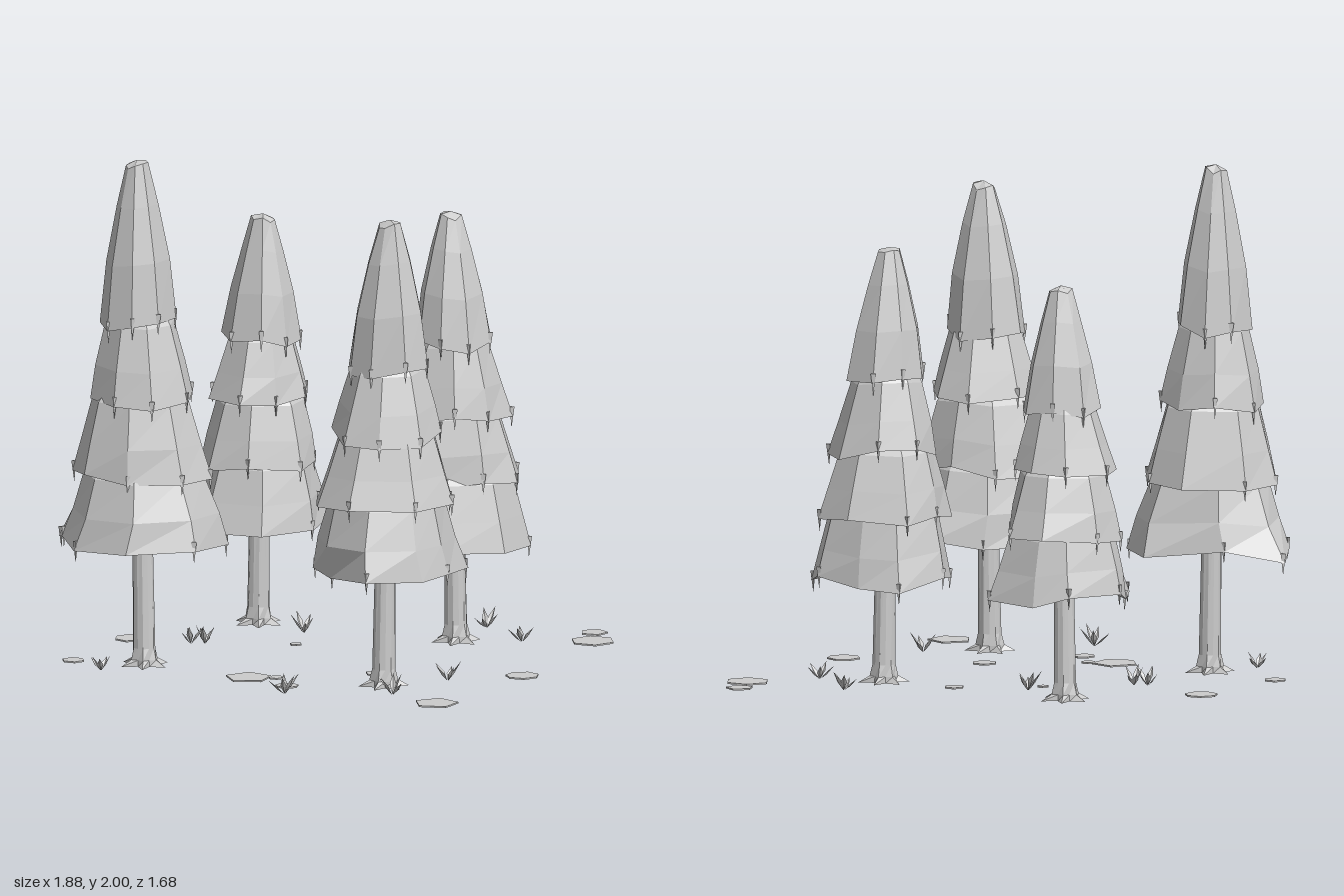
import * as THREE from 'three';

const grey = new THREE.MeshStandardMaterial({ color: 0xcccccc, side: THREE.DoubleSide, flatShading: true });
grey.name = 'pale grey';

// Small seeded random source
let seed = 7;
const rand = (a, b) => {
  seed = (seed * 16807) % 2147483647;
  return a + (b - a) * (seed / 2147483647);
};

function mesh(name, geometry, parent) {
  const m = new THREE.Mesh(geometry, grey);
  m.name = name;
  parent.add(m);
  return m;
}

// Faceted skin over rings of points, listed from first to last
function loft(rings) {
  const pos = [];
  for (let k = 0; k < rings.length - 1; k++) {
    const a = rings[k], b = rings[k + 1], n = a.length;
    for (let i = 0; i < n; i++) {
      const j = (i + 1) % n;
      pos.push(...a[i], ...b[i], ...a[j], ...a[j], ...b[i], ...b[j]);
    }
  }
  const g = new THREE.BufferGeometry();
  g.setAttribute('position', new THREE.Float32BufferAttribute(pos, 3));
  g.computeVertexNormals();
  return g;
}

// base and apex are [x, z]; skirt holds the lowest tier's corners around its centre
const TREES = [
  { base: [-0.55, 0.49], apex: [-0.585, 0.48], h: 2.0, y: [0.5, 0.77, 1.06, 1.36], r: [0.32, 0.265, 0.22, 0.16], spin: 0.2,
    centre: [-0.59, 0.48], skirt: [[-0.35, -0.06], [-0.16, -0.2], [0.14, -0.31], [0.34, -0.12], [0.33, 0.18], [0.09, 0.31], [-0.15, 0.26], [-0.27, 0.1]] },
  { base: [0.457, 0.49], apex: [0.477, 0.475], h: 1.85, y: [0.47, 0.74, 1.0, 1.26], r: [0.31, 0.27, 0.225, 0.17], spin: 0.5,
    centre: [0.475, 0.47], skirt: [[-0.325, 0], [-0.145, -0.23], [0.035, -0.32], [0.245, -0.2], [0.275, 0.06], [0.22, 0.19], [0.045, 0.34], [-0.165, 0.2]] },
  { base: [-0.46, -0.41], apex: [-0.44, -0.41], h: 1.63, y: [0.43, 0.66, 0.9, 1.14], r: [0.27, 0.24, 0.2, 0.15], spin: 0.1,
    centre: [-0.46, -0.41], skirt: [[-0.25, 0.01], [-0.17, -0.24], [-0.03, -0.28], [0.21, -0.23], [0.26, 0.06], [0.13, 0.27], [-0.12, 0.275], [-0.21, 0.11]] },
  { base: [0.378, -0.4], apex: [0.362, -0.385], h: 1.71, y: [0.42, 0.67, 0.92, 1.19], r: [0.28, 0.26, 0.215, 0.16], spin: 0.35,
    centre: [0.37, -0.4], skirt: [[-0.27, 0], [-0.21, -0.23], [-0.04, -0.26], [0.16, -0.24], [0.29, -0.08], [0.27, 0.13], [0.09, 0.295], [-0.14, 0.255]] },
];

function tree(t) {
  const g = new THREE.Group();
  g.name = 'pineTree';
  const axis = (y) => t.base.map((b, i) => b + (t.apex[i] - b) * y / t.h);

  // Trunk, with its foot spread into pointed roots
  const foot = [[0.01, 0.1, 0.045], [0.035, 0.056, 0.044], [0.08, 0.045, 0.043], [t.y[0] + 0.2, 0.038, 0.038]];
  mesh('trunk', loft(foot.map(([y, long, short]) => Array.from({ length: 12 }, (_, i) => {
    const a = i / 12 * Math.PI * 2 + t.spin, r = i % 2 ? short : long, c = axis(y);
    return [c[0] + r * Math.cos(a), y, c[1] + r * Math.sin(a)];
  }))), g);

  // Four overlapping skirts of needles
  t.y.forEach((y, k) => {
    const top = k === 3;
    const corners = k === 0 ? t.skirt : Array.from({ length: 8 }, (_, i) => {
      const a = (i + rand(-0.15, 0.15)) / 8 * Math.PI * 2 + t.spin + k * 0.37;
      const r = t.r[k] * rand(0.88, 1.1);
      return [r * Math.cos(a), r * Math.sin(a)];
    });
    const c0 = k === 0 ? t.centre : axis(y);
    const drop = corners.map(() => rand(-0.025, 0.025));
    const yEnd = top ? t.h : t.y[k + 1];
    // Ring of the skirt: mean radius, height, how far it follows the jagged rim
    const ring = (r, yy, jag) => corners.map(([x, z], i) => {
      const len = Math.hypot(x, z), c = jag > 0.7 ? c0 : axis(yy);
      const rr = r * (1 + jag * (len / t.r[k] - 1)) / len;
      return [c[0] + x * rr, yy + drop[i] * jag, c[1] + z * rr];
    });
    const rings = [ring(0.03, y + 0.08, 0), ring(t.r[k], y, 1)];
    if (top) {
      const s = yEnd - y;
      rings.push(ring(t.r[k] * 0.8, y + s * 0.38, 0.5), ring(t.r[k] * 0.52, y + s * 0.72, 0.4),
        ring(0.045, yEnd - 0.02, 0.6), ring(0.001, yEnd, 0));
    } else {
      const rn = t.r[k + 1];
      rings.push(ring(t.r[k] * 0.55 + rn * 0.4, y + (yEnd - y) * 0.45, 0.5),
        ring(rn * 0.87, yEnd, 0.3), ring(rn * 0.5, yEnd + 0.1, 0), ring(0.001, yEnd + 0.11, 0));
    }
    mesh('foliageTier', loft(rings), g);

    // Drooping needle tips under the corners
    rings[1].forEach(([x, yy, z], i) => {
      if (i % 3 === 2) return;
      const tip = mesh('needleTip', new THREE.ConeGeometry(0.012, 0.085, 3), g);
      tip.position.set(x + (c0[0] - x) * 0.03, yy - 0.005, z + (c0[1] - z) * 0.03);
      tip.rotation.set(Math.PI, rand(0, 6), 0);
    });
  });
  return g;
}

// Tuft of pointed blades leaning outwards
function tuft(x, z) {
  const pos = [], n = 5, spin = rand(0, 6);
  for (let i = 0; i < n; i++) {
    const a = spin + i / n * Math.PI * 2 + rand(-0.3, 0.3);
    const h = rand(0.055, 0.095), out = rand(0.035, 0.065), w = 0.012;
    const p = (r, s, y) => [r * Math.cos(a) - s * Math.sin(a), y, r * Math.sin(a) + s * Math.cos(a)];
    const root = p(0.002, 0, 0.012), tip = p(out, 0, h), mid = p(out * 0.5, 0, h * 0.48);
    const l = p(out * 0.45, -w, h * 0.58), r = p(out * 0.45, w, h * 0.58);
    pos.push(...root, ...l, ...mid, ...mid, ...l, ...tip, ...root, ...mid, ...r, ...mid, ...tip, ...r);
  }
  const g = new THREE.BufferGeometry();
  g.setAttribute('position', new THREE.Float32BufferAttribute(pos, 3));
  g.computeVertexNormals();
  g.translate(x, 0, z);
  return g;
}

export function createModel() {
  const model = new THREE.Group();
  model.name = 'pineGrove';
  TREES.forEach((t) => model.add(tree(t)));

  // Flat stones: x, z, radius, sides
  [[0.85, -0.64, 0.088, 6], [0.79, -0.79, 0.055, 5], [0.86, 0.07, 0.066, 7], [0.76, 0.68, 0.088, 5],
    [-0.81, 0.02, 0.065, 7], [-0.1, 0.52, 0.092, 5], [0, 0.48, 0.03, 6], [0.1, 0.605, 0.045, 7],
    [-0.18, -0.13, 0.024, 6], [-0.85, 0.49, 0.045, 6], [0.1, -0.33, 0.04, 6], [0.33, 0.25, 0.05, 6],
  ].forEach(([x, z, r, n], i) => {
    const s = mesh('flatStone', new THREE.CylinderGeometry(r, r, 0.006, n), model);
    s.position.set(x, 0.003, z);
    s.rotation.y = n === 6 ? Math.PI / 6 : i * 0.7;
  });

  // Grass tufts: x, z
  [[-0.54, 0.06], [-0.49, 0.04], [0.17, 0.79], [0.39, -0.67], [0.62, -0.48], [-0.22, -0.3],
    [-0.66, 0.66], [0.65, 0.31], [0.56, 0.64],
  ].forEach(([x, z]) => mesh('grassTuft', tuft(x, z), model));

  return model;
}
